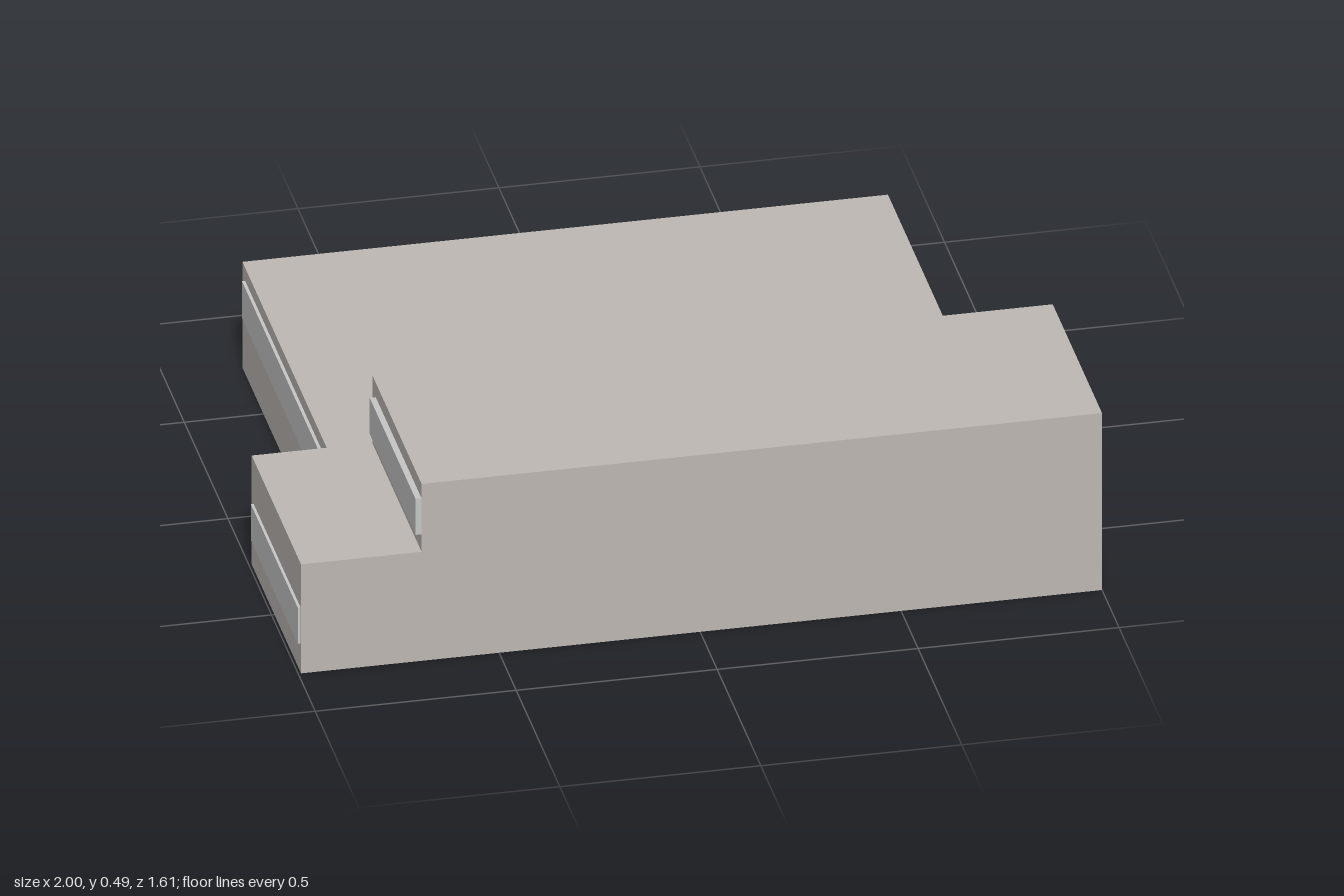
import * as THREE from 'three';

export function createModel() {
  const group = new THREE.Group();
  group.name = 'building';
  const wall = new THREE.MeshStandardMaterial({ name: 'warm grey wall', color: 0xbfb8b4 });
  const glass = new THREE.MeshStandardMaterial({ name: 'neutral grey window', color: 0xc6c7c7 });
  const blue = new THREE.MeshStandardMaterial({ name: 'blue canopy', color: 0x4169c8 });

  // Box given by its lower and upper corners
  function block(name, material, [x0, y0, z0], [x1, y1, z1]) {
    const mesh = new THREE.Mesh(new THREE.BoxGeometry(x1 - x0, y1 - y0, z1 - z0), material);
    mesh.position.set((x0 + x1) / 2, (y0 + y1) / 2, (z0 + z1) / 2);
    mesh.name = name;
    group.add(mesh);
  }

  // Front wing: an L-shaped outline with a low step on the right, extruded in depth
  const outline = new THREE.Shape([
    [-0.993, 0], [1, 0], [1, 0.49], [-0.693, 0.49], [-0.693, 0.302], [-0.993, 0.302],
  ].map(([x, y]) => new THREE.Vector2(x, y)));
  const wing = new THREE.Mesh(
    new THREE.ExtrudeGeometry(outline, { depth: 0.565, bevelEnabled: false }), wall);
  wing.position.z = 0.24;
  wing.name = 'frontWing';
  group.add(wing);

  // Low rear hall
  block('rearHall', wall, [-0.803, 0, -0.741], [0.803, 0.293, 0.24]);

  // Window bands standing slightly proud of the walls
  block('rearHallBackWindow', glass, [-0.775, 0.155, -0.749], [0.775, 0.257, -0.741]);
  block('rearHallSideWindow', glass, [-0.811, 0.155, -0.71], [-0.803, 0.257, 0.205]);
  block('stepSideWindow', glass, [-1, 0.08, 0.262], [-0.993, 0.18, 0.8]);
  block('upperSideWindow', glass, [-0.708, 0.35, 0.28], [-0.693, 0.45, 0.804]);
  block('upperBackWindow', glass, [-0.66, 0.4, 0.23], [0.999, 0.449, 0.24]);

  // Arched canopy over the back entrance
  const arch = [], steps = 8, half = 0.107, rise = 0.03, thickness = 0.018;
  for (let i = 0; i <= steps; i++) {
    const t = -1 + (2 * i) / steps;
    arch.push(new THREE.Vector2(t * half, rise * (1 - t * t)));
  }
  const upper = arch.map((p) => new THREE.Vector2(p.x, p.y + thickness)).reverse();
  const canopy = new THREE.Mesh(new THREE.ExtrudeGeometry(
    new THREE.Shape([...arch, ...upper]), { depth: 0.064, bevelEnabled: false }), blue);
  canopy.position.set(0.378, 0.135, -0.805);
  canopy.name = 'entranceCanopy';
  group.add(canopy);

  return group;
}
